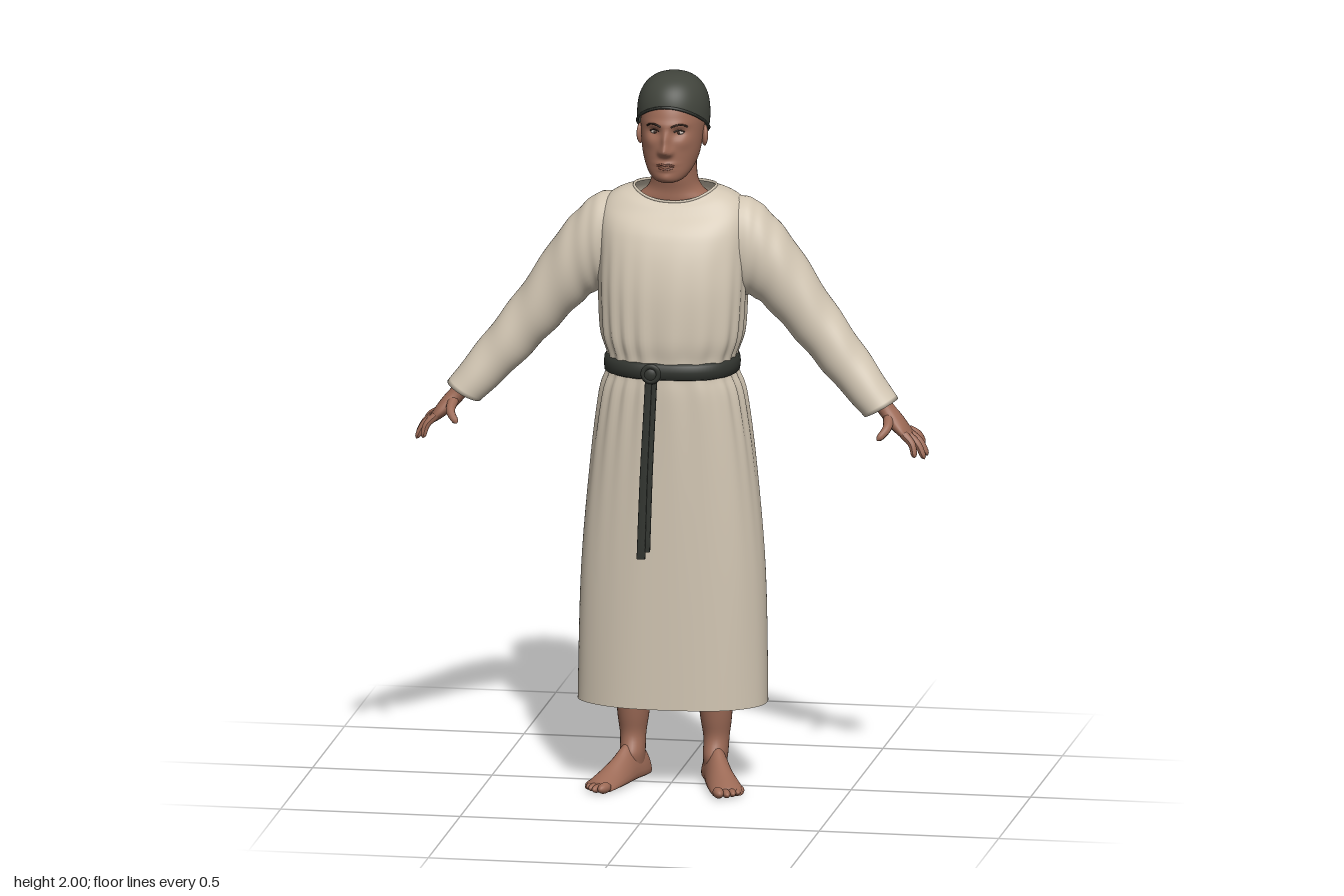
import * as THREE from 'three';

const { sin, cos, abs, exp, sign, sqrt, PI } = Math;
const V = (x, y, z) => new THREE.Vector3(x, y, z);

// smooth interpolation of table rows, n steps per span
const cr = (a, b, c, d, t) => b + 0.5 * t * (c - a + t * (2 * a - 5 * b + 4 * c - d + t * (3 * (b - c) + d - a)));
function sample(rows, n) {
  const out = [], at = i => rows[Math.max(0, Math.min(rows.length - 1, i))];
  for (let i = 0; i < rows.length - 1; i++)
    for (let k = 0; k < n; k++)
      out.push(rows[i].map((_, c) => cr(at(i - 1)[c], at(i)[c], at(i + 1)[c], at(i + 2)[c], k / n)));
  out.push(rows[rows.length - 1].slice());
  return out;
}

// skin a stack of closed rings, optionally closing either end
function loft(rings, capStart = false, capEnd = false) {
  const point = r => { const c = r.reduce((s, p) => s.add(p), V(0, 0, 0)).divideScalar(r.length); return r.map(() => c); };
  const all = [...rings];
  if (capStart) all.unshift(point(rings[0]));
  if (capEnd) all.push(point(rings[rings.length - 1]));
  const n = rings[0].length, pos = [], idx = [];
  all.forEach(r => r.forEach(p => pos.push(p.x, p.y, p.z)));
  for (let i = 0; i < all.length - 1; i++)
    for (let j = 0; j < n; j++) {
      const a = i * n + j, b = i * n + (j + 1) % n;
      idx.push(a, a + n, b, b, a + n, b + n);
    }
  const g = new THREE.BufferGeometry();
  g.setAttribute('position', new THREE.Float32BufferAttribute(pos, 3));
  g.setIndex(idx);
  g.computeVertexNormals();
  return g;
}

// horizontal superellipse ring; edit(point, angle) may adjust each point
function ring([y, cx, w, zf, zb], n = 2, segs = 32, edit) {
  const pow = v => sign(v) * abs(v) ** (2 / n);
  return Array.from({ length: segs }, (_, j) => {
    const a = j / segs * 2 * PI;
    const p = V(cx + w * pow(cos(a)), y, (zf + zb) / 2 + (zf - zb) / 2 * pow(sin(a)));
    if (edit) edit(p, a);
    return p;
  });
}

// slanted ring from a top edge point to a bottom edge point
function slantRing([tx, ty, bx, by, zf, zb], segs, wrinkle = () => 1) {
  return Array.from({ length: segs }, (_, j) => {
    const a = j / segs * 2 * PI, k = wrinkle(a), c = cos(a) * k / 2;
    return V((tx + bx) / 2 + c * (tx - bx), (ty + by) / 2 + c * (ty - by), (zf + zb) / 2 - sin(a) * k * (zf - zb) / 2);
  });
}

// tapered, round-ended digit along a path
function digit(pts, r0, r1) {
  const n = 16, m = 10, curve = new THREE.CatmullRomCurve3(pts);
  const g = new THREE.TubeGeometry(curve, n, 1, m), p = g.attributes.position, v = V(0, 0, 0);
  for (let i = 0; i <= n; i++) {
    const t = i / n, c = curve.getPointAt(t), e = Math.max(0, (t - 0.82) / 0.18);
    const r = (r0 + (r1 - r0) * t) * sqrt(Math.max(0.0005, 1 - e * e));
    for (let j = 0; j <= m; j++) {
      const k = i * (m + 1) + j;
      v.fromBufferAttribute(p, k).sub(c).multiplyScalar(r).add(c);
      p.setXYZ(k, v.x, v.y, v.z);
    }
  }
  g.computeVertexNormals();
  return g;
}

const ellipsoid = (x, y, z, rx, ry, rz) => new THREE.SphereGeometry(1, 20, 14).scale(rx, ry, rz).translate(x, y, z);
const loop = (pts, r) => new THREE.TubeGeometry(new THREE.CatmullRomCurve3(pts, true), 96, r, 6, true);

function mirrored(geo) {
  const g = geo.clone().scale(-1, 1, 1), i = g.index.array;
  for (let k = 0; k < i.length; k += 3) [i[k], i[k + 1]] = [i[k + 1], i[k]];
  g.computeVertexNormals();
  return g;
}

// head profile and face relief: [x, y, spread x, spread y, depth]
const headRows = sample([[1.712, 0, 0.022, 0.08, 0.03], [1.72, 0, 0.042, 0.092, 0], [1.74, 0, 0.06, 0.096, -0.04],
  [1.77, 0, 0.074, 0.095, -0.085], [1.8, 0, 0.081, 0.094, -0.102], [1.84, 0, 0.086, 0.092, -0.125], [1.88, 0, 0.088, 0.086, -0.135],
  [1.92, 0, 0.084, 0.072, -0.13], [1.96, 0, 0.065, 0.04, -0.11], [1.985, 0, 0.03, 0, -0.06]], 7);
const relief = [[0, 1.806, 0.011, 0.013, 0.026], [0, 1.835, 0.009, 0.02, 0.016], [0, 1.767, 0.022, 0.006, 0.007],
  [0, 1.753, 0.018, 0.005, 0.006], [0, 1.73, 0.018, 0.012, 0.006]];
for (const s of [-1, 1]) relief.push([s * 0.014, 1.8, 0.007, 0.008, 0.009], [s * 0.034, 1.853, 0.017, 0.011, -0.012],
  [s * 0.03, 1.876, 0.024, 0.008, 0.005], [s * 0.05, 1.825, 0.015, 0.014, 0.004]);
const bump = (x, y) => relief.reduce((s, [bx, by, sx, sy, d]) => s + d * exp(-(((x - bx) / sx) ** 2 + ((y - by) / sy) ** 2) / 1.4), 0);
function faceZ(x, y) {
  const [, , w, zf, zb] = headRows.reduce((b, r) => abs(r[0] - y) < abs(b[0] - y) ? r : b);
  return (zf + zb) / 2 + (zf - zb) / 2 * sqrt(1 - (x / w) ** 2) + bump(x, y);
}

export function createModel() {
  const model = new THREE.Group();
  const paint = (name, color, side = THREE.FrontSide) => {
    const m = new THREE.MeshStandardMaterial({ color, side });
    m.name = name;
    return m;
  };
  const cloth = paint('cream cloth', 0xd2c6b3, THREE.DoubleSide), skin = paint('skin', 0x9c6a56);
  const felt = paint('dark felt', 0x41443c, THREE.DoubleSide), leather = paint('dark leather', 0x31342f);
  const lipRed = paint('lips', 0x83503f), white = paint('eye white', 0xb9aaa0), brown = paint('dark brown', 0x38271f);
  const add = (name, geo, mat) => {
    const m = new THREE.Mesh(geo, mat);
    m.name = name;
    model.add(m);
  };
  const addPair = (name, geo, mat) => { add(name + 'Left', geo, mat); add(name + 'Right', mirrored(geo), mat); };

  // robe: gathered at the waist, neckline dipping at the front
  const robeEdit = (p, a) => {
    const d = abs(p.y - 1.19), y = p.y, fade = Math.min(1, Math.max(0, (1.62 - y) / 0.15));
    const k = 1 + fade * (0.035 * exp(-d / 0.16) * (1 - exp(-d / 0.03)) * sin(19 * a + 2 * sin(3 * a)) + 0.006 * sin(7 * a + 3 * y));
    p.x *= k;
    p.z = -0.025 + (p.z + 0.025) * k;
    p.y -= 0.032 * Math.max(0, sin(a)) ** 2 * Math.min(1, Math.max(0, (y - 1.56) / 0.11));
  };
  const robe = sample([[0.237, 0, 0.262, 0.13, -0.181], [0.6, 0, 0.254, 0.132, -0.181], [0.9, 0, 0.228, 0.133, -0.177],
    [1.1, 0, 0.2, 0.132, -0.169], [1.17, 0, 0.178, 0.128, -0.156], [1.215, 0, 0.177, 0.128, -0.156], [1.28, 0, 0.196, 0.134, -0.17],
    [1.4, 0, 0.204, 0.127, -0.177], [1.5, 0, 0.205, 0.106, -0.178], [1.58, 0, 0.208, 0.073, -0.175], [1.63, 0, 0.196, 0.042, -0.166],
    [1.66, 0, 0.16, 0.026, -0.15], [1.676, 0, 0.113, 0.014, -0.136]], 6).map(r => ring(r, 2.4, 128, robeEdit));
  add('robe', loft(robe), cloth);
  add('neckTrim', loop(robe[robe.length - 1].filter((_, i) => i % 4 === 0), 0.004), cloth);

  // sleeves, with creases growing toward the cuff
  const sleeve = sample([[0.15, 1.65, 0.15, 1.41, 0.02, -0.155], [0.21, 1.645, 0.185, 1.375, 0.025, -0.157],
    [0.26, 1.607, 0.215, 1.37, 0.02, -0.155], [0.33, 1.525, 0.26, 1.335, 0.014, -0.15], [0.432, 1.37, 0.345, 1.245, 0.007, -0.138],
    [0.535, 1.23, 0.435, 1.15, 0.016, -0.112], [0.627, 1.107, 0.535, 1.055, 0.035, -0.073]], 8);
  const cuff = [0.612, 1.103, 0.548, 1.066, 0.022, -0.06];
  const sleeveRings = sleeve.map((r, i) => {
    const t = i / (sleeve.length - 1);
    return slantRing(r, 40, a => 1 + 0.035 * t * (1 - t ** 8) * sin(t * 44 + 1.5 * cos(a) + 2 * sin(a)));
  });
  addPair('sleeve', loft([...sleeveRings, slantRing(cuff, 40)], false, true), cloth);

  // hands
  const palm = sample([[0.6, 1.11, 0.56, 1.085, 0.012, -0.048], [0.617, 1.087, 0.58, 1.06, 0.015, -0.048],
    [0.637, 1.064, 0.603, 1.034, 0.027, -0.052], [0.656, 1.038, 0.63, 1.012, 0.037, -0.054],
    [0.673, 1.01, 0.654, 0.996, 0.034, -0.05], [0.678, 1, 0.664, 0.992, 0.024, -0.042]], 4);
  addPair('palm', loft(palm.map(r => slantRing(r, 24)), true, true), skin);
  [[0.027, 0.685, 0.957, 0.046], [0.004, 0.708, 0.948, 0.018], [-0.02, 0.711, 0.951, -0.015], [-0.042, 0.695, 0.974, -0.053]]
    .forEach(([z, x, y, tz], i) => addPair('finger' + (i + 1),
      digit([V(0.652, 1.018, z), V((0.652 + x) / 2 + 0.007, (1.018 + y) / 2 + 0.006, (z + tz) / 2), V(x, y, tz)], 0.0125, 0.008), skin));
  addPair('thumb', digit([V(0.607, 1.058, 0.005), V(0.607, 1.035, 0.048), V(0.585, 1.008, 0.073)], 0.016, 0.009), skin);

  // legs
  const leg = sample([[0.045, 0.113, 0.03, 0.005, -0.095], [0.08, 0.115, 0.034, 0.012, -0.099], [0.13, 0.116, 0.036, -0.008, -0.096],
    [0.2, 0.115, 0.045, 0.002, -0.103], [0.36, 0.112, 0.056, 0.02, -0.118], [0.7, 0.1, 0.07, 0.05, -0.11]], 6);
  addPair('leg', loft(leg.map(r => ring(r)), true, true), skin);

  // feet, turned outward from the heel: [along, centre, half width, height]
  const place = g => g.rotateY(0.34).translate(0.108, 0.004, -0.06);
  const foot = sample([[-0.046, 0, 0.014, 0.045], [-0.036, 0, 0.028, 0.07], [0, 0, 0.036, 0.098], [0.05, 0, 0.037, 0.105],
    [0.1, 0.001, 0.041, 0.077], [0.15, 0.005, 0.046, 0.051], [0.19, 0.006, 0.046, 0.034], [0.212, 0.002, 0.04, 0.024]], 4);
  const footRings = foot.map(([s, u, w, h]) => Array.from({ length: 28 }, (_, j) => {
    const a = -j / 28 * 2 * PI;
    return V(u + w * cos(a) * (sin(a) > 0 ? 1 - 0.25 * sin(a) : 1), sin(a) > 0 ? h * (0.25 + 0.75 * sin(a)) : h * 0.25 * (1 - sqrt(abs(sin(a)))), s);
  }));
  addPair('foot', place(loft(footRings, true, true)), skin);
  [[-0.026, 0.253, 0.015], [-0.004, 0.25, 0.0115], [0.014, 0.238, 0.011], [0.03, 0.222, 0.0105], [0.044, 0.203, 0.01]]
    .forEach(([u, tip, r], i) => addPair('toe' + (i + 1), place(ellipsoid(u, r, tip - 0.028, r, r, 0.028)), skin));

  // belt with a knot and two hanging ends
  const belt = [[1.166, 0], [1.171, 0.011], [1.19, 0.013], [1.208, 0.011], [1.213, 0]]
    .map(([y, o]) => ring([y, 0, 0.174 + o, 0.127 + o, -0.153 - o], 2.4, 96));
  add('belt', loft(belt), leather);
  add('beltKnot', ellipsoid(-0.032, 1.188, 0.148, 0.026, 0.025, 0.018), leather);
  add('knotLoop', new THREE.TorusGeometry(0.021, 0.008, 8, 24).rotateZ(0.4).translate(-0.03, 1.19, 0.156), leather);
  [[-0.006, 0.67, 0], [0.007, 0.69, -0.004]].forEach(([dx, bottom, dz], i) => {
    const rows = [[bottom, -0.05, 0.012, 0.171, 0.159], [0.9, -0.043, 0.011, 0.166, 0.154], [1.1, -0.034, 0.01, 0.16, 0.147], [1.19, -0.03, 0.01, 0.158, 0.144]];
    add('beltEnd' + (i + 1), loft(sample(rows, 4).map(([y, x, w, f, b]) => ring([y, x + dx, w, f + dz, b + dz], 4, 16)), true, true), leather);
  });

  // neck and shoulders
  const neck = sample([[1.6, 0, 0.125, 0, -0.145], [1.645, 0, 0.105, 0.003, -0.132], [1.675, 0, 0.074, 0.004, -0.118],
    [1.72, 0, 0.062, 0.013, -0.11], [1.82, 0, 0.062, 0.02, -0.112]], 5);
  add('neck', loft(neck.map(r => ring(r)), true, true), skin);

  // head and face
  add('head', loft(headRows.map(r => ring(r, 2, 112, p => { if (p.z > 0) p.z += bump(p.x, p.y); })), true, true), skin);
  addPair('ear', ellipsoid(0, 0, 0, 0.009, 0.029, 0.018).rotateY(0.35).rotateX(-0.15).translate(0.089, 1.828, -0.02), skin);
  const eyeZ = faceZ(0.034, 1.853);
  addPair('eye', ellipsoid(0.034, 1.853, eyeZ - 0.002, 0.012, 0.005, 0.006), white);
  addPair('iris', ellipsoid(0.033, 1.853, eyeZ + 0.0015, 0.0048, 0.0046, 0.0035), brown);
  const line = (pts, r) => new THREE.TubeGeometry(new THREE.CatmullRomCurve3(pts.map(([x, y]) => V(x, y, faceZ(x, y)))), 16, r, 6);
  addPair('eyebrow', line([[0.014, 1.871], [0.03, 1.877], [0.046, 1.876], [0.056, 1.869]], 0.0028), brown);
  addPair('upperEyelid', line([[0.02, 1.856], [0.034, 1.861], [0.048, 1.855]], 0.002), brown);
  add('upperLip', line([[-0.024, 1.763], [-0.008, 1.768], [0, 1.766], [0.008, 1.768], [0.024, 1.763]], 0.003), lipRed);
  add('lowerLip', line([[-0.019, 1.758], [0, 1.754], [0.019, 1.758]], 0.0032), lipRed);

  // close cap, its rim falling toward the nape
  const capRing = t => Array.from({ length: 64 }, (_, j) => {
    const a = j / 64 * 2 * PI, s = sin(a), rim = 1.85 + 0.063 * s + 0.01 * s * s;
    const y = rim + (2 - rim) * sin(t * PI / 2), r = Math.max(0, 1 - abs((y - 1.885) / 0.115) ** 2.4) ** (1 / 2.4);
    return V(0.1 * r * cos(a), y, -0.035 + 0.114 * r * s);
  });
  const cap = Array.from({ length: 25 }, (_, i) => capRing(i / 24));
  add('cap', loft(cap), felt);
  add('capRim', loop(cap[0].filter((_, i) => i % 2 === 0), 0.004), leather);

  return model;
}
